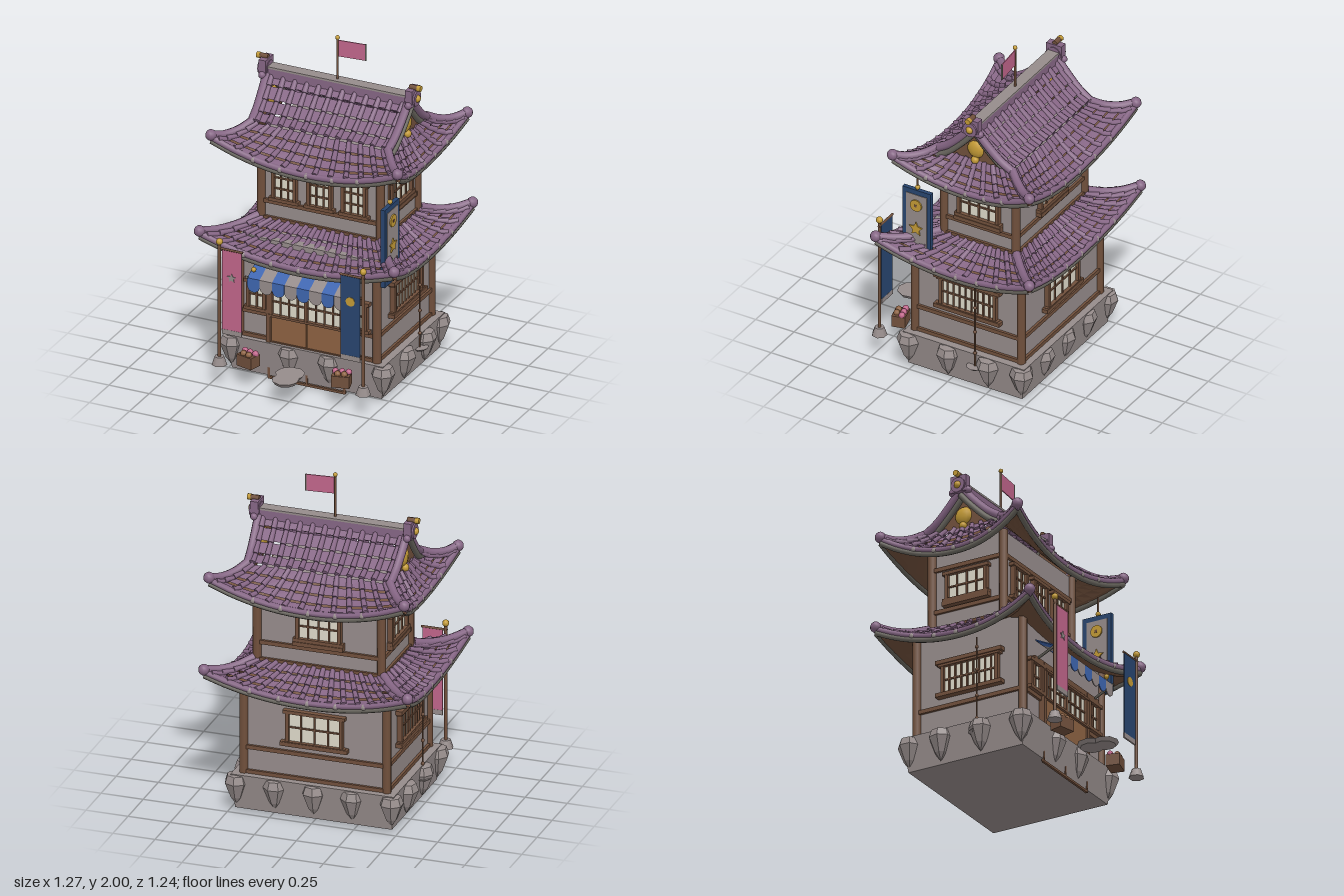
import * as THREE from 'three';
import { mergeGeometries } from 'three/addons/utils/BufferGeometryUtils.js';

const mat = (name, color, extra = {}) => Object.assign(new THREE.MeshStandardMaterial({ color, ...extra }), { name });
const M = {
  roof: mat('purpleTile', 0x866685, { side: THREE.DoubleSide }),
  grey: mat('warmGrey', 0x968c8b, { side: THREE.DoubleSide }),
  trim: mat('darkGrey', 0x6a675f),
  wood: mat('brownWood', 0x71503c, { side: THREE.DoubleSide }),
  tan: mat('tanWood', 0x8d6242),
  gold: mat('gold', 0xc49b36),
  blue: mat('blueCloth', 0x3f66b0, { side: THREE.DoubleSide }),
  navy: mat('navyCloth', 0x28456f),
  pink: mat('pinkCloth', 0xc0658a),
  pane: mat('creamPane', 0xdedaca),
};
const V = (x, y, z) => new THREE.Vector3(x, y, z);
const lerp = THREE.MathUtils.lerp;

function add(parent, name, geo, material, x = 0, y = 0, z = 0) {
  const m = new THREE.Mesh(geo, material);
  m.name = name;
  m.position.set(x, y, z);
  parent.add(m);
  return m;
}
const box = (p, name, material, w, h, d, x, y, z) => add(p, name, new THREE.BoxGeometry(w, h, d), material, x, y, z);
const ball = (p, name, material, r, x, y, z) => add(p, name, new THREE.SphereGeometry(r, 10, 7), material, x, y, z);

// Tapered rod geometry between two points
function rodGeo(a, b, r0, r1 = r0, sides = 7) {
  const d = b.clone().sub(a);
  const g = new THREE.CylinderGeometry(r1, r0, d.length(), sides);
  g.applyQuaternion(new THREE.Quaternion().setFromUnitVectors(V(0, 1, 0), d.normalize()));
  const c = a.clone().add(b).multiplyScalar(0.5);
  return g.translate(c.x, c.y, c.z);
}
const rod = (p, name, material, a, b, r, r1) => add(p, name, rodGeo(a, b, r, r1), material);
const tube = (p, name, material, pts, r) =>
  add(p, name, new THREE.TubeGeometry(new THREE.CatmullRomCurve3(pts), 20, r, 7), material);

// Faceted surface f(u, v), u in [-1, 1], v in [0, 1]; each row drops in a small step
function sheet(f, rows, step) {
  const pos = [], N = 14;
  for (let r = 0; r < rows; r++) for (let i = 0; i < N; i++) {
    const c = (du, dv) => {
      const q = f(-1 + 2 * (i + du) / N, (r + dv) / rows);
      q.y += dv * step;
      return q;
    };
    const [a, b, d, e] = [c(0, 0), c(1, 0), c(0, 1), c(1, 1)];
    for (const q of [a, d, b, b, d, e]) pos.push(q.x, q.y, q.z);
  }
  const g = new THREE.BufferGeometry();
  g.setAttribute('position', new THREE.Float32BufferAttribute(pos, 3));
  g.computeVertexNormals();
  return g;
}
// Overlapping round tiles running down a surface
function rolls(f, n, rows, r) {
  const list = [];
  for (let i = 0; i < n; i++) for (let j = 0; j < rows; j++) {
    const u = -0.93 + 1.86 * i / (n - 1);
    const a = f(u, j / rows), b = f(u, Math.min(1, (j + 1.1) / rows));
    a.y += 0.004; b.y += 0.012;
    list.push(rodGeo(a, b, r * 0.85, r * 1.1));
  }
  return mergeGeometries(list);
}
// Turn a front-facing (along, y, out) point to side k: front, right, back, left
function turn(k, a, y, o, cz) {
  return [V(a, y, cz + o), V(o, y, cz - a), V(-a, y, cz - o), V(-o, y, cz + a)][k];
}
// Flared hip skirt with tiles, soffit, eave rims, knobs and hip ridges
function skirt(parent, name, o) {
  const g = new THREE.Group();
  g.name = name;
  parent.add(g);
  for (let k = 0; k < 4; k++) {
    const odd = k % 2, [ta, to] = odd ? [o.tz, o.tx] : [o.tx, o.tz], [ba, bo] = odd ? [o.bz, o.bx] : [o.bx, o.bz];
    const f = (u, v) => turn(k, lerp(ta, ba, v) * u,
      o.yTop - (o.yTop - o.yMid) * (1 - (1 - v) ** 1.25) + o.lift * v ** 1.4 * Math.abs(u) ** 2.1,
      lerp(to, bo, v) - (odd ? o.insetX : 0.03) * v * (1 - u * u), lerp(o.c0, o.c1, v));
    add(g, 'roofTiles', sheet(f, 4, 0.012), M.roof);
    add(g, 'roundTiles', rolls(f, odd ? o.nSide : o.nFront, 4, 0.016), M.roof);
    const under = (u, v) => f(u, v).add(V(0, -0.035, 0));
    add(g, 'soffit', sheet(under, 4, 0), M.wood);
    const edge = dy => Array.from({ length: 11 }, (_, i) => f(-1 + i / 5, 1).add(V(0, dy, 0)));
    tube(g, 'eaveRim', M.roof, edge(0), 0.018);
    tube(g, 'eaveTrim', M.trim, edge(-0.025), 0.016);
    for (let i = -2; i <= 2; i++) {
      const p = f(i * 0.28, 1);
      ball(g, 'eaveKnob', M.grey, 0.021, p.x, p.y - 0.004, p.z);
    }
    tube(g, 'hipRidge', M.roof, [0, 0.33, 0.67, 1].map(v => f(1, v).add(V(0, 0.014, 0))), 0.025);
    const c = f(1, 1);
    ball(g, 'cornerKnob', M.roof, 0.033, c.x, c.y + 0.012, c.z);
  }
}
// Framed window with glazing bars on a wall facing +z
function windowUnit(p, x, y, z, w, h, cols, rows, t = 0.02) {
  box(p, 'windowPane', M.pane, w, h, 0.008, x, y, z + 0.006);
  for (const s of [-1, 1]) {
    box(p, 'windowFrame', M.wood, t, h + t, 0.035, x + s * w / 2, y, z + 0.012);
    box(p, 'windowFrame', M.wood, w + t * 2.5, t, 0.042, x, y + s * h / 2, z + 0.012);
  }
  for (let i = 1; i < cols; i++) box(p, 'glazingBar', M.wood, 0.009, h, 0.014, x - w / 2 + w * i / cols, y, z + 0.012);
  for (let i = 1; i < rows; i++) box(p, 'glazingBar', M.wood, w, 0.009, 0.014, x, y - h / 2 + h * i / rows, z + 0.012);
}
// Plastered storey with corner posts and beams; detail(k, face, depth) dresses each wall
function storey(parent, name, hx, hz, cz, y0, y1, beams, detail) {
  const g = new THREE.Group();
  g.name = name;
  g.position.z = cz;
  parent.add(g);
  box(g, 'plasterWalls', M.grey, hx * 2, y1 - y0, hz * 2, 0, (y0 + y1) / 2, 0);
  for (const sx of [-1, 1]) for (const sz of [-1, 1])
    rod(g, 'cornerPost', M.wood, V(sx * hx, y0, sz * hz), V(sx * hx, y1, sz * hz), 0.026);
  for (let k = 0; k < 4; k++) {
    const face = new THREE.Group(), [w, d] = k % 2 ? [hz, hx] : [hx, hz];
    face.name = 'wallFace';
    face.rotation.y = k * Math.PI / 2;
    g.add(face);
    for (const y of beams) box(face, 'wallBeam', M.wood, w * 2, 0.024, 0.03, 0, y, d);
    detail(k, face, d);
  }
}
function starGeo(r) {
  const pts = Array.from({ length: 10 }, (_, i) => {
    const a = Math.PI / 2 + i * Math.PI / 5, q = i % 2 ? r * 0.48 : r;
    return new THREE.Vector2(q * Math.cos(a), q * Math.sin(a));
  });
  return new THREE.ExtrudeGeometry(new THREE.Shape(pts), { depth: 0.008, bevelEnabled: false });
}
const coinGeo = r => new THREE.CylinderGeometry(r, r, 0.014, 14).rotateX(Math.PI / 2);

export function createModel() {
  const root = new THREE.Group();
  root.name = 'townhouseShop';

  // Stone base with wedge boulders
  const slab = new THREE.BoxGeometry(0.97, 0.21, 0.79);
  const sp = slab.attributes.position;
  for (let i = 0; i < sp.count; i++) if (sp.getY(i) < 0) sp.setXYZ(i, sp.getX(i) * 0.96, sp.getY(i), sp.getZ(i) * 0.94);
  slab.computeVertexNormals();
  add(root, 'stoneBase', slab, M.grey, 0, 0.125, -0.095);
  const profile = [[0, 0], [0.035, 0.05], [0.07, 0.14], [0.055, 0.185], [0, 0.195]].map(p => new THREE.Vector2(...p));
  const boulder = new THREE.LatheGeometry(profile, 7).toNonIndexed();
  boulder.computeVertexNormals();
  const spots = [];
  for (const x of [-0.47, -0.11, 0.14, 0.47]) spots.push([x, 0.27]);
  for (const x of [-0.46, -0.23, 0, 0.23, 0.46]) spots.push([x, -0.46]);
  for (const s of [-1, 1]) for (const z of [0.01, -0.25]) spots.push([s * 0.475, z]);
  spots.forEach(([x, z], i) => { add(root, 'baseBoulder', boulder, M.grey, x, 0.035, z).rotation.y = i * 1.3; });

  // Ground floor: sliding doors at the front, slatted side windows, grid window at the back
  storey(root, 'groundFloor', 0.425, 0.345, -0.09, 0.2, 0.85, [0.24, 0.39], (k, f, d) => {
    if (k === 0) {
      for (const s of [-1, 1]) {
        box(f, 'doorPanel', M.tan, 0.215, 0.16, 0.03, s * 0.11, 0.32, d + 0.012);
        windowUnit(f, s * 0.11, 0.485, d + 0.008, 0.215, 0.17, 4, 2, 0.014);
        box(f, 'doorPost', M.wood, 0.026, 0.38, 0.045, s * 0.235, 0.42, d + 0.012);
        windowUnit(f, s * 0.315, 0.5, d, 0.1, 0.17, 2, 2);
      }
      box(f, 'doorLintel', M.wood, 0.7, 0.03, 0.045, 0, 0.6, d + 0.01);
      for (const x of [-0.235, 0, 0.235]) box(f, 'stepFramePost', M.wood, 0.014, 0.23, 0.014, x, 0.12, d + 0.02);
      for (const y of [0.008, 0.23]) box(f, 'stepFrameRail', M.wood, 0.48, 0.014, 0.014, 0, y, d + 0.02);
    } else if (k === 2) {
      windowUnit(f, 0, 0.55, d, 0.32, 0.19, 4, 2);
      box(f, 'windowSill', M.wood, 0.4, 0.024, 0.05, 0, 0.45, d + 0.012);
    } else {
      windowUnit(f, 0.01, 0.55, d, 0.35, 0.18, 9, 2);
      for (const y of [0.455, 0.655]) box(f, 'windowRail', M.wood, 0.43, 0.024, 0.05, 0.01, y, d + 0.015);
      // Rain chain over a stone dish
      rod(f, 'rainChain', M.wood, V(0.08, 0.15, d + 0.06), V(0.08, 0.74, d + 0.06), 0.005);
      for (const y of [0.24, 0.38, 0.54, 0.68]) ball(f, 'chainCup', M.wood, 0.011, 0.08, y, d + 0.06);
      add(f, 'stoneDish', new THREE.CylinderGeometry(0.05, 0.025, 0.02, 9), M.grey, 0.08, 0.145, d + 0.06);
    }
  });
  // Upper floor
  storey(root, 'upperFloor', 0.37, 0.232, -0.135, 0.82, 1.42, [0.905, 1.01, 1.27], (k, f, d) => {
    if (k === 0) for (const x of [-0.22, 0, 0.215]) windowUnit(f, x, 1.135, d, 0.135, 0.2, 3, 3);
    else {
      windowUnit(f, 0, 1.145, d, 0.25, 0.165, 4, 2);
      box(f, 'windowSill', M.wood, 0.3, 0.024, 0.05, 0, 1.04, d + 0.012);
    }
  });

  // Roofs
  skirt(root, 'lowerRoof', { tx: 0.385, tz: 0.245, bx: 0.605, bz: 0.5, yTop: 0.9, yMid: 0.765, lift: 0.115,
    insetX: 0.045, c0: -0.135, c1: -0.095, nFront: 14, nSide: 10 });
  skirt(root, 'upperRoofSkirt', { tx: 0.42, tz: 0.24, bx: 0.58, bz: 0.445, yTop: 1.475, yMid: 1.31, lift: 0.13,
    insetX: 0.06, c0: -0.135, c1: -0.135, nFront: 12, nSide: 9 });
  const gable = new THREE.Group();
  gable.name = 'gableRoof';
  gable.position.z = -0.135;
  root.add(gable);
  const slope = v => 1.695 - 0.22 * (1 - (1 - v) ** 1.3);
  for (const k of [0, 2]) {
    const f = (u, v) => turn(k, u * lerp(0.44, 0.425, v), slope(v), 0.24 * v, 0);
    add(gable, 'gableTiles', sheet(f, 4, 0.012), M.roof);
    add(gable, 'gableRoundTiles', rolls(f, 12, 4, 0.016), M.roof);
    for (const s of [-1, 1]) {
      const line = (dx, dy) => [0, 0.35, 0.7, 1].map(v => f(s, v).add(V(s * dx, dy, 0)));
      tube(gable, 'vergeRoll', M.roof, line(0, 0.01), 0.025);
      tube(gable, 'bargeBoard', M.trim, line(0.012, -0.035), 0.018);
    }
  }
  for (const s of [-1, 1]) {
    const tri = new THREE.Shape([[-0.22, 1.46], [0.22, 1.46], [0, 1.67]].map(p => new THREE.Vector2(...p)));
    add(gable, 'gableWall', new THREE.ShapeGeometry(tri), M.wood, s * 0.415).rotation.y = s * Math.PI / 2;
    ball(gable, 'gableMedallion', M.gold, 0.054, s * 0.415, 1.545, 0).scale.x = 0.5;
    ball(gable, 'gableDrop', M.gold, 0.024, s * 0.425, 1.48, 0);
    // Ridge-end ornament
    box(gable, 'ridgeEnd', M.roof, 0.045, 0.1, 0.1, s * 0.455, 1.72, 0);
    add(gable, 'ridgeEndDisc', new THREE.CylinderGeometry(0.045, 0.045, 0.06, 12).rotateZ(Math.PI / 2), M.roof, s * 0.458, 1.71, 0);
    ball(gable, 'ridgeEndBoss', M.gold, 0.022, s * 0.485, 1.71, 0);
    rod(gable, 'ridgeHorn', M.wood, V(s * 0.44, 1.775, 0), V(s * 0.49, 1.775, 0), 0.016);
    rod(gable, 'ridgeHornTip', M.gold, V(s * 0.488, 1.775, 0), V(s * 0.51, 1.775, 0), 0.018);
    for (const z of [-1, 1]) ball(gable, 'ridgeEndKnob', M.roof, 0.022, s * 0.455, 1.68, z * 0.05);
  }
  box(gable, 'ridgeBeam', M.roof, 0.88, 0.055, 0.065, 0, 1.693, 0);
  box(gable, 'ridgeCap', M.grey, 0.87, 0.012, 0.07, 0, 1.724, 0);

  // Rooftop flag
  rod(gable, 'flagPole', M.wood, V(-0.01, 1.72, 0), V(-0.01, 1.98, 0), 0.007);
  ball(gable, 'flagFinial', M.gold, 0.013, -0.01, 1.985, 0);
  const flag = box(gable, 'flag', M.pink, 0.165, 0.1, 0.006, 0.078, 1.92, -0.008);
  flag.rotation.y = 0.09;
  box(flag, 'flagHem', M.trim, 0.008, 0.1, 0.008, 0.08, 0, 0);

  // Scalloped awning
  const flap = new THREE.Shape();
  flap.moveTo(0.038, 0.045).lineTo(-0.038, 0.045).lineTo(-0.038, 0);
  flap.absarc(0, 0, 0.038, Math.PI, Math.PI * 2, false);
  const awning = new THREE.Group();
  awning.name = 'awning';
  root.add(awning);
  for (let i = 0; i < 8; i++) {
    const x = -0.27 + i * 0.077, m = i % 2 ? M.grey : M.blue;
    box(awning, 'awningStrip', m, 0.077, 0.006, 0.15, x, 0.695, 0.335).rotation.x = 0.45;
    add(awning, 'awningFlap', new THREE.ExtrudeGeometry(flap, { depth: 0.006, bevelEnabled: false }), m, x, 0.62, 0.4);
  }
  for (const s of [-1, 1]) {
    rod(awning, 'awningArm', M.trim, V(s * 0.31, 0.6, 0.26), V(s * 0.31, 0.67, 0.41), 0.008);
    ball(awning, 'awningBoss', M.gold, 0.015, s * 0.28, 0.71, 0.38);
  }

  // Banner poles
  for (const s of [-1, 1]) {
    const b = new THREE.Group(), cloth = s < 0 ? M.pink : M.navy, cx = -s * 0.078;
    b.name = s < 0 ? 'pinkBanner' : 'navyBanner';
    b.position.set(s * 0.447, 0, 0.475);
    root.add(b);
    add(b, 'bannerFoot', new THREE.CylinderGeometry(0.028, 0.045, 0.05, 7), M.grey, 0, 0.155, 0);
    rod(b, 'bannerPole', M.wood, V(0, 0.15, 0), V(0, 0.88, 0), 0.01);
    ball(b, 'bannerFinial', M.gold, 0.02, 0, 0.89, 0);
    rod(b, 'bannerRod', M.wood, V(s * 0.01, 0.85, 0), V(-s * 0.145, 0.85, 0), 0.007);
    box(b, 'bannerCloth', cloth, 0.12, 0.49, 0.008, cx, 0.6, 0);
    box(b, 'bannerHem', M.grey, 0.12, 0.03, 0.01, cx, 0.34, 0);
    if (s < 0) add(b, 'bannerStar', starGeo(0.028), M.grey, cx, 0.68, 0);
    else add(b, 'bannerCoin', coinGeo(0.028), M.gold, cx, 0.69, 0);
    // Produce crate
    const c = new THREE.Group();
    c.name = 'produceCrate';
    c.position.set(s * 0.29, 0.135, 0.43);
    c.rotation.y = s * 0.25;
    root.add(c);
    box(c, 'crate', M.wood, 0.105, 0.07, 0.08, 0, 0.035, 0);
    for (let i = 0; i < 5; i++)
      ball(c, 'fruit', i % 2 ? M.tan : M.pink, 0.019, (i - 2) * 0.019, 0.076, (i % 2 ? 1 : -1) * 0.018);
  }

  // Hanging side sign
  const sign = new THREE.Group();
  sign.name = 'hangingSign';
  sign.position.set(0.482, 0.962, 0.205);
  sign.rotation.y = Math.PI / 2;
  root.add(sign);
  box(sign, 'signBoard', M.navy, 0.185, 0.48, 0.026, 0, 0, 0);
  box(sign, 'signPanel', M.grey, 0.135, 0.42, 0.032, 0, 0, 0);
  for (const s of [-1, 1]) {
    add(sign, 'signCoin', coinGeo(0.037), M.gold, 0, 0.142, s * 0.017);
    box(sign, 'signCoinHole', M.wood, 0.016, 0.016, 0.006, 0, 0.142, s * 0.023);
    add(sign, 'signStar', starGeo(0.045), M.gold, 0, -0.012, s * 0.019 - 0.004);
    add(sign, 'signDot', coinGeo(0.028), M.pink, 0, -0.14, s * 0.014);
  }
  ball(sign, 'signFinial', M.gold, 0.015, 0, 0.255, 0);
  rod(sign, 'signHook', M.wood, V(0, 0.24, 0), V(0, 0.36, 0), 0.006);

  // Stepping stones
  for (const [x, z, r] of [[-0.015, 0.46, 0.085], [-0.005, 0.54, 0.078]])
    add(root, 'steppingStone', new THREE.CylinderGeometry(r, r * 0.8, 0.022, 9), M.grey, x, 0.145, z);
  return root;
}
